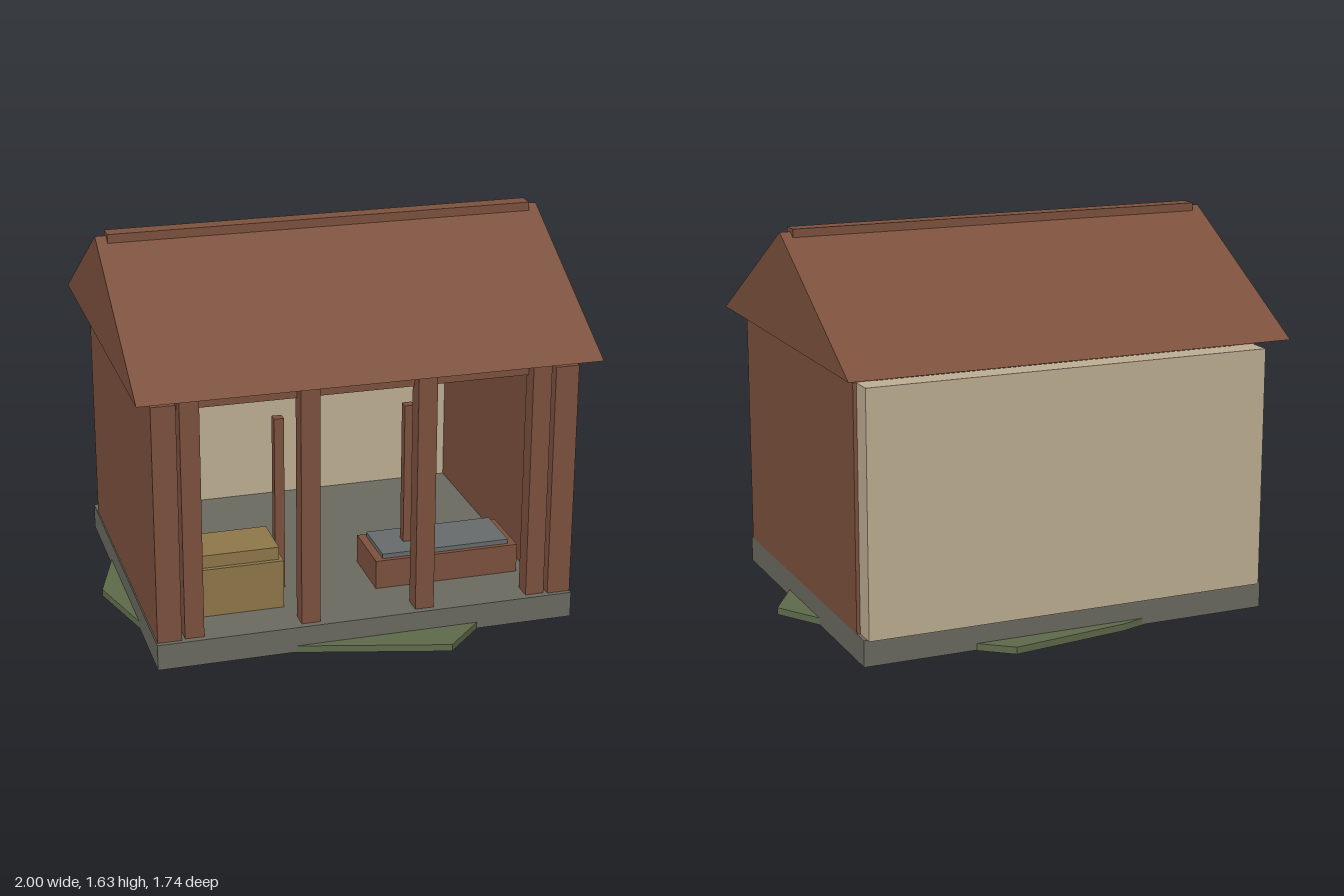
import * as THREE from 'three';

const material = (name, color) => {
  const m = new THREE.MeshStandardMaterial({ color });
  m.name = name;
  return m;
};

export function createModel() {
  const wood = material('brown wood', 0x7c513d);
  const plaster = material('beige plaster', 0xbdae92);
  const stone = material('grey stone', 0x6a6a60);
  const slate = material('slate', 0x676b6c);
  const grass = material('grass green', 0x5e6a4b);
  const straw = material('straw', 0x8e774a);

  const model = new THREE.Group();
  model.name = 'openShed';

  // Box given by its limits on each axis
  const box = (name, mat, [x0, x1], [y0, y1], [z0, z1], parent = model) => {
    const mesh = new THREE.Mesh(new THREE.BoxGeometry(x1 - x0, y1 - y0, z1 - z0), mat);
    mesh.position.set((x0 + x1) / 2, (y0 + y1) / 2, (z0 + z1) / 2);
    mesh.name = name;
    parent.add(mesh);
    return mesh;
  };
  const group = (name) => {
    const g = new THREE.Group();
    g.name = name;
    model.add(g);
    return g;
  };

  // Irregular ten-sided patch of grass
  const radii = [1, 0.86, 0.95, 0.8, 1.03, 1, 1, 0.8, 0.875, 0.85];
  const outline = radii.map((r, i) => {
    const a = (i * Math.PI) / 5;
    // shape y becomes -z once laid flat
    return new THREE.Vector2(r * Math.cos(a), 0.04 - r * Math.sin(a));
  });
  const ground = new THREE.Mesh(
    new THREE.ExtrudeGeometry(new THREE.Shape(outline), { depth: 0.03, bevelEnabled: false }), grass);
  ground.rotation.x = -Math.PI / 2;
  ground.name = 'grassPatch';
  model.add(ground);

  // Floor and walls
  const floor = 0.113;
  box('floorSlab', stone, [-0.905, 0.88], [0.002, floor], [-0.77, 0.7]);
  box('rightWall', wood, [-0.9, -0.8], [floor, 1.13], [-0.69, 0.68]);
  box('leftWall', wood, [0.78, 0.88], [floor, 1.13], [-0.69, 0.68]);
  box('backWall', plaster, [-0.885, 0.865], [floor, 1.13], [-0.79, -0.685]);

  // Front posts and the two cross beams
  const posts = group('frontPosts');
  for (const x of [-0.745, -0.255, 0.235, 0.725]) {
    box('frontPost', wood, [x - 0.04, x + 0.04], [floor, 1.17], [0.592, 0.672], posts);
  }
  box('frontBeam', wood, [-0.81, 0.79], [1.085, 1.172], [0.55, 0.616]);
  box('rearBeam', wood, [-0.81, 0.79], [1.09, 1.172], [-0.28, -0.21]);

  // Short inner posts
  const inner = group('innerPosts');
  for (const x of [-0.294, 0.274]) {
    box('innerPost', wood, [x - 0.021, x + 0.021], [floor, 0.885], [0.278, 0.32], inner);
  }

  // Chest with a lid
  const chest = group('chest');
  box('chestBody', straw, [-0.705, -0.325], [floor, 0.325], [0.24, 0.5], chest);
  box('chestLid', straw, [-0.69, -0.34], [0.325, 0.38], [0.26, 0.48], chest);

  // Low bench with a slate top
  const bench = group('bench');
  box('benchBody', wood, [0.095, 0.73], [floor, 0.24], [0.16, 0.44], bench);
  box('benchTop', slate, [0.13, 0.695], [0.24, 0.26], [0.18, 0.42], bench);

  // Gable roof, extruded along x
  const gable = new THREE.Shape([
    new THREE.Vector2(-0.765, 1.17), new THREE.Vector2(0.84, 1.17), new THREE.Vector2(0.04, 1.62)]);
  const roof = new THREE.Mesh(
    new THREE.ExtrudeGeometry(gable, { depth: 1.92, bevelEnabled: false }), wood);
  roof.rotation.y = Math.PI / 2;
  roof.position.x = -0.97;
  roof.name = 'gableRoof';
  model.add(roof);
  box('ridgeCap', wood, [-0.925, 0.905], [1.598, 1.635], [-0.075, 0]);

  return model;
}
